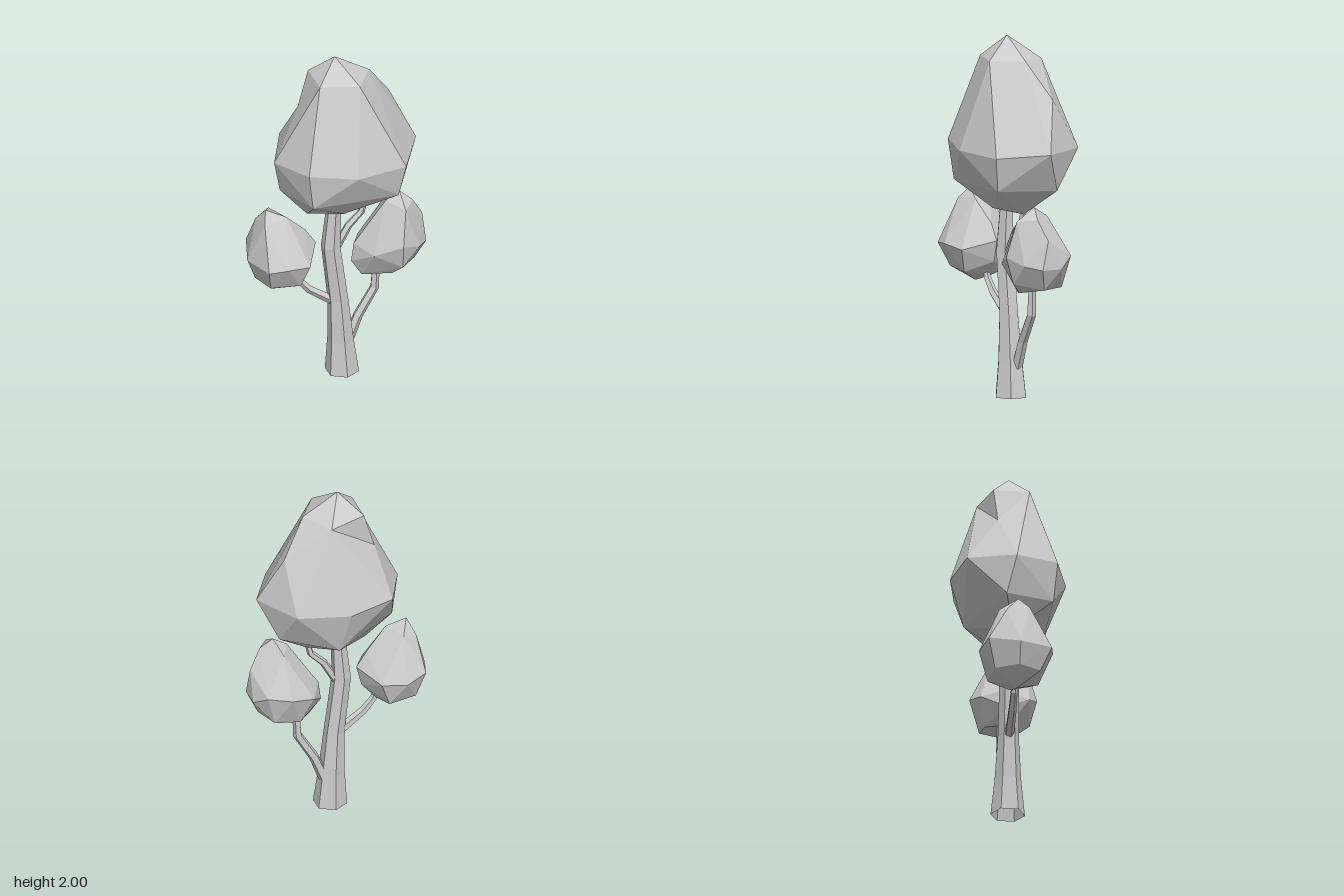
import * as THREE from 'three';
import { ConvexGeometry } from 'three/addons/geometries/ConvexGeometry.js';

const material = new THREE.MeshStandardMaterial({ color: 0xcccccc, flatShading: true });
const openMaterial = material.clone();
openMaterial.side = THREE.DoubleSide;

function addMesh(group, name, geometry, mat = material) {
  const mesh = new THREE.Mesh(geometry, mat);
  mesh.name = name;
  group.add(mesh);
}

// Faceted leaf mass: the hull of a few [x, y, z] corners
function foliage(points) {
  return new ConvexGeometry(points.map(p => new THREE.Vector3(...p)));
}

// Push one corner of a leaf mass inwards to make a hollow
function dent(geometry, from, to) {
  const corner = new THREE.Vector3(...from), v = new THREE.Vector3();
  const position = geometry.attributes.position;
  for (let i = 0; i < position.count; i++) {
    if (v.fromBufferAttribute(position, i).distanceTo(corner) < 1e-4) position.setXYZ(i, ...to);
  }
  geometry.computeVertexNormals();
  return geometry;
}

// Tapered limb, open at its foot, along [x, y, z, radius] stations; upright keeps its rings level
function limb(stations, sides, upright = false) {
  const pos = [], index = [];
  const last = stations.length - 1;
  stations.forEach(([x, y, z, r], i) => {
    const a = stations[Math.max(i - 1, 0)], b = stations[Math.min(i + 1, last)];
    const t = upright ? new THREE.Vector2(0, 1) : new THREE.Vector2(b[0] - a[0], b[1] - a[1]).normalize();
    for (let k = 0; k < sides; k++) {
      const angle = k / sides * Math.PI * 2;
      const s = Math.sin(angle) * r;
      pos.push(x + t.y * s, y - t.x * s, z + Math.cos(angle) * r);
    }
  });
  for (let i = 0; i < last; i++) {
    for (let k = 0; k < sides; k++) {
      const n = (k + 1) % sides;
      const a = i * sides + k, b = i * sides + n;
      index.push(a, b, b + sides, a, b + sides, a + sides);
    }
  }
  const top = last * sides;
  for (let k = 1; k < sides - 1; k++) index.push(top, top + k, top + k + 1);
  const geometry = new THREE.BufferGeometry();
  geometry.setAttribute('position', new THREE.Float32BufferAttribute(pos, 3));
  geometry.setIndex(index);
  geometry.computeVertexNormals();
  return geometry;
}

export function createModel() {
  const tree = new THREE.Group();
  tree.name = 'tree';

  // Leaning hexagonal trunk, hollow at the base
  addMesh(tree, 'trunk', limb([
    [0.042, 0, 0, 0.095], [0.034, 0.2, 0, 0.074], [0.018, 0.46, 0, 0.058],
    [-0.023, 0.8, 0, 0.054], [-0.003, 1.08, 0, 0.039],
  ], 6, true), openMaterial);

  // Side branches
  addMesh(tree, 'rightBranch', limb([
    [0, 0.445, 0, 0.028], [-0.15, 0.55, 0, 0.023], [-0.21, 0.62, 0, 0.02], [-0.24, 0.7, 0, 0.016],
  ], 5), openMaterial);
  addMesh(tree, 'leftBranch', limb([
    [0.08, 0.17, -0.015, 0.032], [0.14, 0.32, -0.015, 0.028], [0.235, 0.48, -0.015, 0.026], [0.245, 0.67, -0.015, 0.02],
  ], 5), openMaterial);
  addMesh(tree, 'upperBranch', limb([
    [0, 0.77, 0, 0.025], [0.08, 0.91, 0, 0.022], [0.155, 0.985, 0, 0.019], [0.18, 1.08, 0, 0.015],
  ], 5), openMaterial);

  // Large crown: tip, shoulders, widest ring, lower ring, underside
  const hollow = [-0.3, 1.67, -0.15];
  addMesh(tree, 'crown', dent(foliage([
    [0, 2, 0], [0.2, 1.88, 0], [0.09, 1.88, 0.165], [0.09, 1.87, -0.165],
    [-0.12, 1.88, 0.1], [-0.12, 1.88, -0.1], [0.34, 1.68, -0.09], hollow,
    [0.47, 1.4, 0], [0.325, 1.38, 0.26], [0.03, 1.39, 0.32], [-0.23, 1.41, 0.24],
    [-0.35, 1.39, 0], [-0.23, 1.41, -0.26], [0.03, 1.39, -0.32], [0.325, 1.4, -0.26],
    [0.37, 1.18, -0.1], [0.29, 1.19, 0.23], [-0.2, 1.19, 0.22],
    [-0.3, 1.18, -0.05], [0.07, 1.13, -0.24],
    [-0.16, 1.03, 0], [0.18, 1.03, 0], [0.02, 1.05, 0.1],
  ]), hollow, [-0.185, 1.67, -0.085]));

  // Small crown on the model's right
  addMesh(tree, 'rightFoliage', foliage([
    [-0.4, 1.1, 0], [-0.35, 1.05, -0.1], [-0.29, 1.05, 0.03], [-0.435, 1.02, -0.065],
    [-0.425, 1.04, 0.06], [-0.17, 0.93, 0],
    [-0.505, 0.8, 0], [-0.455, 0.83, -0.17], [-0.335, 0.8, -0.21], [-0.2, 0.8, -0.17],
    [-0.11, 0.84, 0], [-0.2, 0.79, 0.17], [-0.335, 0.81, 0.2], [-0.44, 0.8, 0.18],
    [-0.46, 0.68, 0], [-0.41, 0.67, 0.12], [-0.41, 0.67, -0.13], [-0.25, 0.66, -0.15],
    [-0.24, 0.66, 0.13], [-0.14, 0.72, 0], [-0.34, 0.59, 0], [-0.22, 0.63, -0.02],
  ]));

  // Small crown on the model's left
  addMesh(tree, 'leftFoliage', foliage([
    [0.36, 1.1, 0.04], [0.28, 1.05, 0.04], [0.43, 1.04, 0.06], [0.36, 1.03, 0.15],
    [0.33, 1.04, -0.06], [0.21, 0.92, 0], [0.495, 0.93, 0.03],
    [0.505, 0.77, 0.07], [0.505, 0.77, -0.05], [0.45, 0.83, -0.14], [0.32, 0.81, -0.175],
    [0.18, 0.77, -0.13], [0.11, 0.79, 0], [0.095, 0.68, 0], [0.18, 0.77, 0.14],
    [0.33, 0.83, 0.2], [0.44, 0.79, 0.15], [0.45, 0.65, 0.03], [0.4, 0.65, -0.11],
    [0.34, 0.68, 0.16], [0.15, 0.595, 0.02], [0.3, 0.62, 0.1], [0.25, 0.62, -0.1],
  ]));

  return tree;
}
